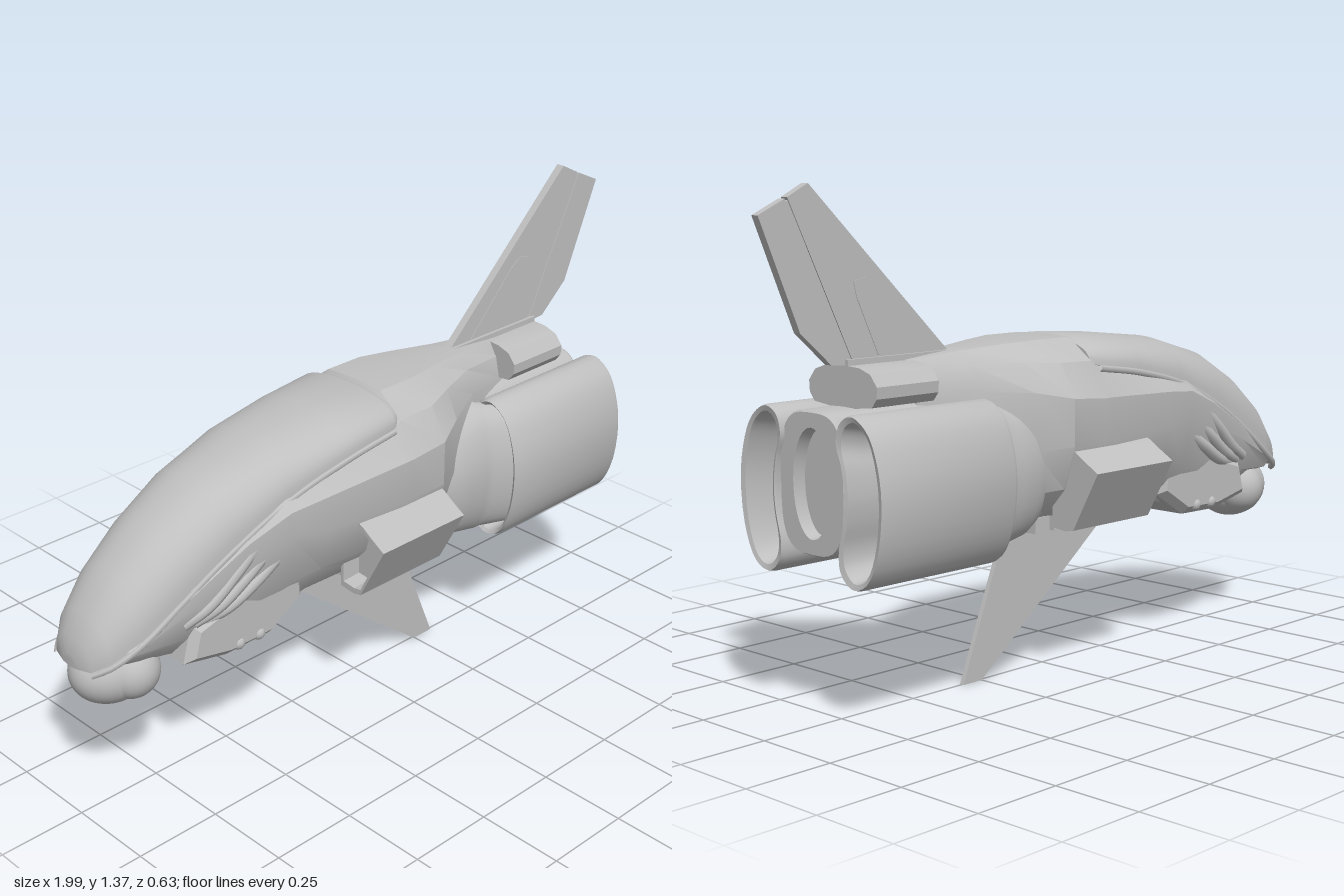
import * as THREE from 'three';
import { toCreasedNormals } from 'three/addons/utils/BufferGeometryUtils.js';

const V = (x, y, z) => new THREE.Vector3(x, y, z);
const mix = THREE.MathUtils.lerp;

// Skin a row of loops (each counter-clockwise seen from +x) and close both ends
function loft(loops, crease) {
  const pos = [], n = loops[0].length;
  const tri = (...p) => p.forEach(v => pos.push(v.x, v.y, v.z));
  for (let i = 0; i < loops.length - 1; i++) {
    for (let j = 0; j < n; j++) {
      const k = (j + 1) % n, A = loops[i], B = loops[i + 1];
      tri(A[j], A[k], B[k]);
      tri(A[j], B[k], B[j]);
    }
  }
  [loops[0], loops[loops.length - 1]].forEach((L, e) => {
    const c = L.reduce((s, p) => s.add(p), V(0, 0, 0)).divideScalar(n);
    for (let j = 0; j < n; j++) {
      const k = (j + 1) % n;
      if (e) tri(c, L[j], L[k]); else tri(c, L[k], L[j]);
    }
  });
  const g = new THREE.BufferGeometry();
  g.setAttribute('position', new THREE.Float32BufferAttribute(pos, 3));
  return toCreasedNormals(g, crease);
}

// Half profile of [z, y] from top centre to bottom centre, mirrored into a loop
const mirrorLoop = (x, half) => [
  ...half.map(([z, y]) => V(x, y, z)),
  ...half.slice(1, -1).reverse().map(([z, y]) => V(x, y, -z))];

// Flat plate drawn in x and y, centred on z
function plate(points, thick, bevel = 0) {
  const g = new THREE.ExtrudeGeometry(new THREE.Shape(points.map(p => new THREE.Vector2(...p))), {
    depth: thick, bevelEnabled: bevel > 0, bevelSize: bevel, bevelThickness: bevel, bevelSegments: 1 });
  return g.translate(0, 0, -thick / 2);
}

export function createModel() {
  const group = new THREE.Group();
  const grey = new THREE.MeshStandardMaterial({ color: 0xbfbfbf });
  grey.name = 'hull grey';
  const add = (name, geo, x = 0, y = 0, z = 0) => {
    const m = new THREE.Mesh(geo, grey);
    m.name = name;
    m.position.set(x, y, z);
    group.add(m);
  };

  // Faceted fuselage: x, top, half width, shoulder height, waist height, bottom
  const hull = [
    [-.98, .50, .06, .485, .475, .46], [-.90, .55, .13, .515, .50, .45], [-.72, .70, .165, .62, .58, .41],
    [-.55, .78, .185, .71, .65, .39], [-.42, .84, .205, .76, .69, .41], [-.30, .86, .22, .77, .67, .44],
    [-.04, .90, .235, .78, .66, .44], [0, .945, .235, .78, .66, .44], [.12, .945, .235, .79, .66, .45],
    [.22, .94, .185, .81, .65, .44], [.36, .93, .115, .82, .65, .42], [.54, .915, .07, .80, .65, .44]];
  add('fuselage', loft(hull.map(([x, top, w, sh, mid, bot]) => mirrorLoop(x, [
    [0, top], [.43 * w, top - .005], [.78 * w, mix(top, sh, .4)], [w, sh], [w, mid],
    [.84 * w, mix(mid, bot, .57)], [.53 * w, bot + .008], [0, bot]])), 0.45));

  // Smooth canopy: x, edge height, half width, top height
  const canopy = [
    [-.998, .462, .03, .495], [-.985, .465, .075, .54], [-.95, .485, .107, .60], [-.87, .53, .135, .69],
    [-.75, .61, .153, .78], [-.6, .70, .167, .858], [-.4, .79, .18, .912], [-.2, .84, .188, .934],
    [-.03, .865, .19, .945], [-.005, .87, .175, .935]];
  add('canopy', loft(canopy.map(([x, e, w, t]) => {
    const half = [];
    for (let i = 0; i <= 14; i++) {
      const a = i / 14 * Math.PI / 2;
      half.push([w * Math.sin(a) ** 0.85, e + (t - e) * Math.max(0, Math.cos(a)) ** 0.85]);
    }
    half.push([0, e - 0.005]);
    return mirrorLoop(x, half);
  }), 0.75));

  // Chin sensor, with a lobe on each side added below
  add('chinSensor', new THREE.SphereGeometry(1, 32, 20).scale(0.122, 0.096, 0.1), -0.87, 0.405, 0);

  // Cheek armour under the nose
  add('cheekArmour', toCreasedNormals(plate([[-.72, .43], [-.70, .50], [-.52, .55], [-.46, .69], [-.37, .63],
    [-.36, .47], [-.46, .408], [-.60, .405]], 0.28, 0.022), 0.3));

  // Engine pod outline, [z, y], bean shaped
  const bean = new THREE.CatmullRomCurve3([[.165, .81], [.225, .775], [.262, .70], [.277, .60], [.258, .47], [.215, .395],
    [.160, .377], [.115, .41], [.107, .46], [.125, .53], [.133, .60], [.122, .68], [.102, .74], [.118, .79]]
    .map(([z, y]) => V(0, y, z)), true).getPoints(48).slice(0, -1);
  const beanLoop = (s, [x, sz, sy, dz = 0]) => {
    const loop = bean.map(p => V(x, .593 + (p.y - .593) * sy, s * (.19 + dz + (p.z - .19) * sz)));
    return s > 0 ? loop : loop.reverse();
  };

  for (const s of [1, -1]) {
    add('chinLobe', new THREE.SphereGeometry(0.08, 28, 18), -0.846, 0.405, s * 0.045);

    // Rim rail along the canopy edge
    const rail = new THREE.CatmullRomCurve3(canopy.slice(1, 9).map(([x, e, w]) => V(x, e - .008, s * (w - .002))));
    add('canopyRim', new THREE.TubeGeometry(rail, 40, 0.01, 6));

    // Curved intake pipes
    for (let i = 0; i < 3; i++) {
      const d = i * 0.034;
      const pipe = new THREE.CatmullRomCurve3([V(-.74 + d, .53 - d * .2, s * .135), V(-.67 + d, .565 - d * .4, s * .155),
        V(-.59 + d, .63 - d * .7, s * .167), V(-.50 + d, .705 - d, s * .17)]);
      add('intakePipe', new THREE.TubeGeometry(pipe, 20, 0.02, 10));
    }
    for (const x of [-.57, -.50]) add('cheekStud', new THREE.SphereGeometry(0.02, 12, 8), x, 0.41, s * 0.15);

    // Wedge-shaped side box with an open front
    const side = [[.15, .66], [.15, .43], [.20, .425], [.227, .43], [.315, .595], [.27, .622], [.235, .645], [.20, .66]];
    const sideLoop = ([x, k]) => {
      const loop = side.map(([z, y]) => V(x, mix(.55, y, k), s * mix(.225, z, k)));
      return s > 0 ? loop.reverse() : loop;
    };
    add('sideBox', loft([[-.14, .8], [-.195, .86], [-.195, 1], [.118, 1]].map(sideLoop), 0.1));

    // Rounded neck and hollow engine pod: x, width scale, height scale, shift in z
    add('engineNeck', loft([[.18, .65, .70, -.06], [.22, .8, .82, -.06], [.28, .84, .88, -.06], [.34, .84, .94, -.06],
      [.355, .82, .95, -.058], [.365, .78, .92, -.05], [.45, .75, .88, 0]].map(p => beanLoop(s, p)), 0.7));
    add('enginePod', loft([[.44, .7, .88], [.385, .8, .93], [.378, .92, .975], [.392, 1, 1], [.835, 1, 1], [.846, .94, .985],
      [.842, .78, .92], [.78, .68, .87], [.62, .6, .82]].map(p => beanLoop(s, p)), 0.7));
  }

  // Centre engine filling the space between the pods, with a shallow oval nozzle:
  // x, half width, half height, roundness
  add('centreEngine', loft([[.38, .125, .185, .6], [.825, .125, .185, .6], [.835, .12, .18, .6], [.835, .072, .142, 1],
    [.80, .068, .136, 1]].map(([x, w, h, r]) => {
    const bend = v => Math.sign(v) * Math.abs(v) ** r;
    const loop = [];
    for (let i = 0; i < 40; i++) {
      const a = i / 40 * Math.PI * 2;
      loop.push(V(x, .622 + h * bend(Math.cos(a)), w * bend(Math.sin(a))));
    }
    return loop;
  }), 0.5));

  // Housing above the engines
  const housing = [[0, .912], [.065, .908], [.105, .895], [.13, .865], [.128, .835], [.11, .812], [0, .80]];
  add('topHousing', loft([mirrorLoop(.52, housing), mirrorLoop(.73, housing)], 0.4));

  // Tail fin in two panels with a narrow groove, and a raised inset
  add('tailFin', plate([[.36, .91], [.70, .91], [.905, 1.332], [.84, 1.365]], 0.024));
  add('tailRudder', plate([[.708, .91], [.775, .915], [.872, 1.0], [.995, 1.29], [.913, 1.328]], 0.024));
  add('tailFinCore', plate([[.64, .91], [.76, .92], [.93, 1.31], [.86, 1.345]], 0.018));
  add('tailFinInset', plate([[.46, .93], [.62, 1.10], [.66, 1.13], [.70, 1.12], [.69, 1.08], [.62, .93]], 0.027));
  add('finRoot', new THREE.BoxGeometry(0.36, 0.024, 0.044), 0.55, 0.914, 0);

  // Belly fin, its mount and the vents beside it
  add('bellyFin', plate([[-.27, .40], [.25, 0], [.32, 0], [.16, .40]], 0.014));
  add('bellyFinMount', new THREE.BoxGeometry(0.32, 0.05, 0.04), -0.03, 0.425, 0);
  for (let i = 0; i < 4; i++) add('bellyVent', new THREE.BoxGeometry(0.055, 0.045, 0.22), -0.105 + i * 0.073, 0.43, 0);

  return group;
}
